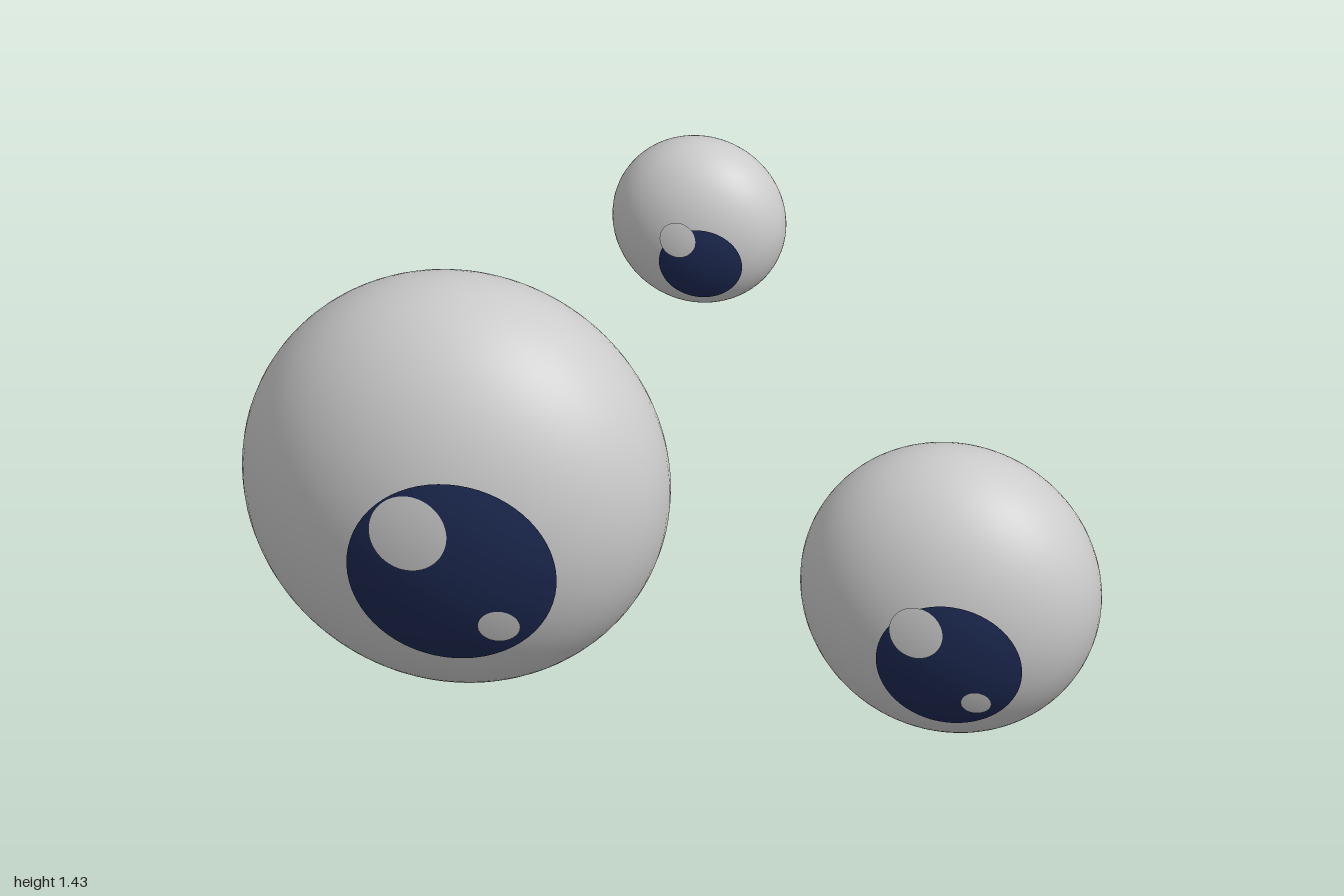
import * as THREE from 'three';

const grey = new THREE.MeshStandardMaterial({ color: 0xcccccc });
const white = new THREE.MeshStandardMaterial({ color: 0xcccccc, side: THREE.DoubleSide });
const navy = new THREE.MeshStandardMaterial({ color: 0x1c2951, side: THREE.DoubleSide });

// Flattened eyeballs: centre, radius and depth; discs are [x, y, radius]
const eyes = [
  { name: 'largeEye', c: [-0.507, 0.497, -0.003], r: 0.493, depth: 0.357, gap: 0.012,
    pupil: [-0.435, 0.425, 0.238], glints: [[-0.525, 0.535, 0.092], [-0.325, 0.297, 0.046]] },
  { name: 'mediumEye', c: [0.65, 0.37, -0.004], r: 0.347, depth: 0.25, gap: 0.017,
    pupil: [0.705, 0.295, 0.165], glints: [[0.638, 0.388, 0.063], [0.767, 0.203, 0.033]] },
  { name: 'smallEye', c: [0.06, 1.232, -0.008], r: 0.2, depth: 0.142, gap: 0.022,
    pupil: [0.1, 1.195, 0.093], glints: [[0.052, 1.26, 0.042]] },
];

// Round patch that follows the front of the eyeball, lifted off by a gap
function patch(eye, [x, y, radius], lift, material, name) {
  const geo = new THREE.RingGeometry(0, radius, 64, 10);
  geo.translate(x - eye.c[0], y - eye.c[1], 0);
  const p = geo.attributes.position;
  for (let i = 0; i < p.count; i++) {
    const d = Math.hypot(p.getX(i), p.getY(i)) / eye.r;
    p.setZ(i, eye.depth * Math.sqrt(Math.max(0, 1 - d * d)) + lift);
  }
  geo.computeVertexNormals();
  const mesh = new THREE.Mesh(geo, material);
  mesh.name = name;
  return mesh;
}

export function createModel() {
  const model = new THREE.Group();
  model.name = 'eyes';
  for (const eye of eyes) {
    const group = new THREE.Group();
    group.name = eye.name;
    group.position.set(...eye.c);

    const ball = new THREE.Mesh(new THREE.SphereGeometry(1, 64, 48), grey);
    ball.name = 'eyeball';
    ball.scale.set(eye.r, eye.r, eye.depth);
    group.add(ball);

    group.add(patch(eye, eye.pupil, eye.gap, navy, 'pupil'));
    for (const glint of eye.glints) {
      group.add(patch(eye, glint, eye.gap + 0.003, white, 'highlight'));
    }
    model.add(group);
  }
  return model;
}
